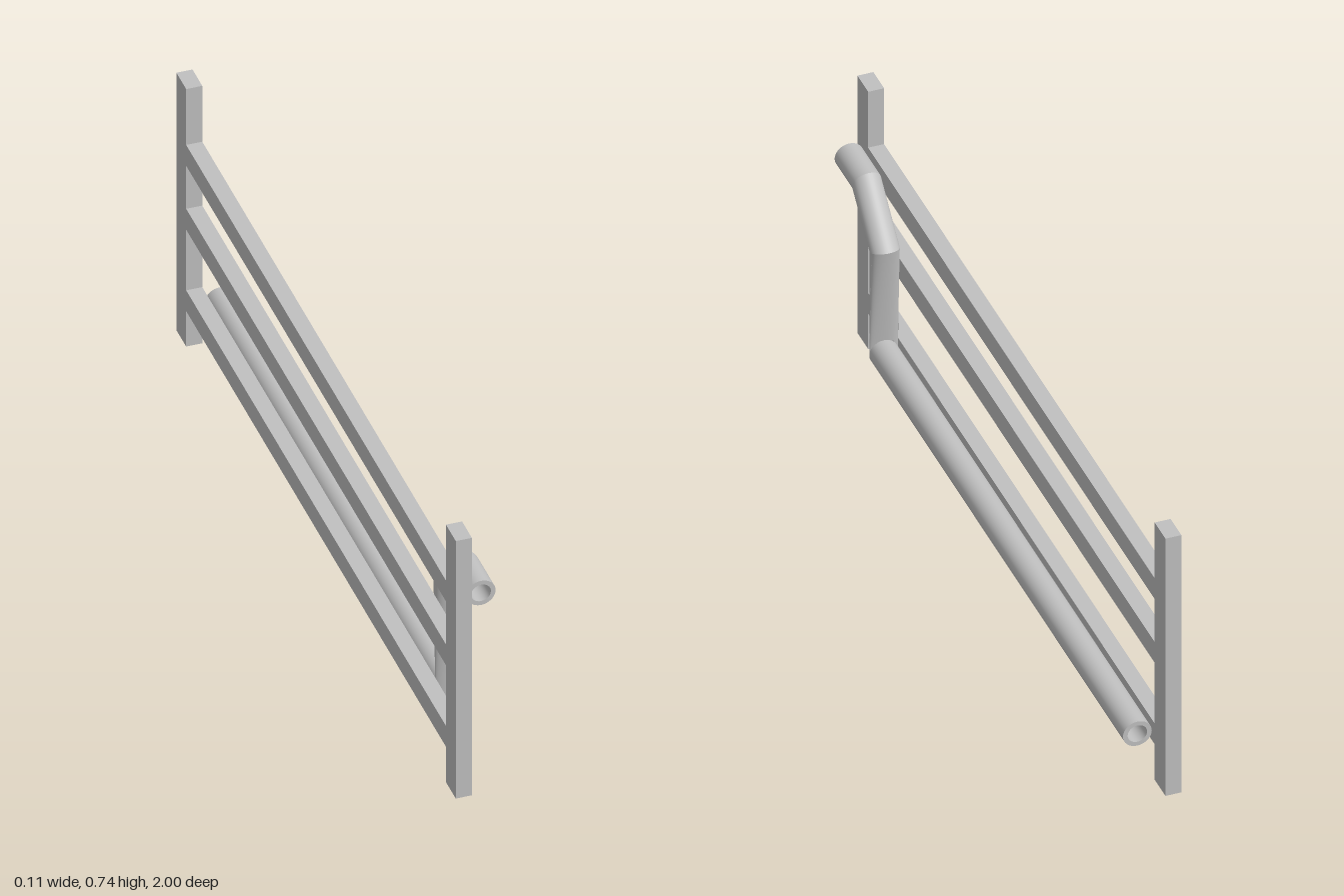
import * as THREE from 'three';

const SIDES = 32;
const PIPE_X = 0.0196;
const OUTER = 0.0362;
const INNER = 0.0245;

// Pipe stations: [top y, top z, bottom y, bottom z] of each slanted outer ring
const STATIONS = [
  [0.5825, 0.96, 0.513, 0.96],
  [0.5825, 0.832, 0.513, 0.861],
  [0.441, 0.697, 0.421, 0.76],
  [0.165, 0.735, 0.096, 0.735],
  [0.165, -0.912, 0.096, -0.912],
];

function ring([y1, z1, y2, z2], radius) {
  const k = radius / OUTER;
  const points = [];
  for (let i = 0; i < SIDES; i++) {
    const a = (i / SIDES) * Math.PI * 2;
    const s = Math.sin(a) * k / 2;
    points.push([
      PIPE_X + Math.cos(a) * radius,
      (y1 + y2) / 2 + s * (y1 - y2),
      (z1 + z2) / 2 + s * (z1 - z2),
    ]);
  }
  return points;
}

// Band of faces joining two rings, smooth around and sharp at the ends
function band(a, b) {
  const index = [];
  for (let i = 0; i < SIDES; i++) {
    const j = (i + 1) % SIDES;
    index.push(i, SIDES + i, j, j, SIDES + i, SIDES + j);
  }
  const geometry = new THREE.BufferGeometry();
  geometry.setAttribute('position', new THREE.Float32BufferAttribute([...a, ...b].flat(), 3));
  geometry.setIndex(index);
  geometry.computeVertexNormals();
  return geometry;
}

export function createModel() {
  const model = new THREE.Group();
  model.name = 'fenceWithPipe';
  const grey = new THREE.MeshStandardMaterial({ color: 0xc0c0c0 });
  grey.name = 'light grey';

  const add = (parent, name, geometry) => {
    const mesh = new THREE.Mesh(geometry, grey);
    mesh.name = name;
    parent.add(mesh);
    return mesh;
  };

  // Fence: two posts and three rails, all equally thick
  const thickness = 0.04;
  const fenceX = -0.037;
  const fence = new THREE.Group();
  fence.name = 'fence';
  model.add(fence);
  for (const [name, side] of [['frontPost', 1], ['backPost', -1]]) {
    add(fence, name, new THREE.BoxGeometry(thickness, 0.742, 0.07))
      .position.set(fenceX, 0.371, side * 0.965);
  }
  for (const [name, y] of [['lowerRail', 0.132], ['middleRail', 0.367], ['upperRail', 0.551]]) {
    add(fence, name, new THREE.BoxGeometry(thickness, 0.06, 1.86))
      .position.set(fenceX, y, 0);
  }

  // Hollow bent pipe: outer and inner walls plus a rim at each end
  const pipe = new THREE.Group();
  pipe.name = 'bentPipe';
  model.add(pipe);
  const outer = STATIONS.map((s) => ring(s, OUTER));
  const inner = STATIONS.map((s) => ring(s, INNER));
  for (let i = 0; i < STATIONS.length - 1; i++) {
    add(pipe, 'pipeOuterWall', band(outer[i], outer[i + 1]));
    add(pipe, 'pipeInnerWall', band(inner[i + 1], inner[i]));
  }
  const last = STATIONS.length - 1;
  add(pipe, 'frontRim', band(inner[0], outer[0]));
  add(pipe, 'backRim', band(outer[last], inner[last]));

  return model;
}
